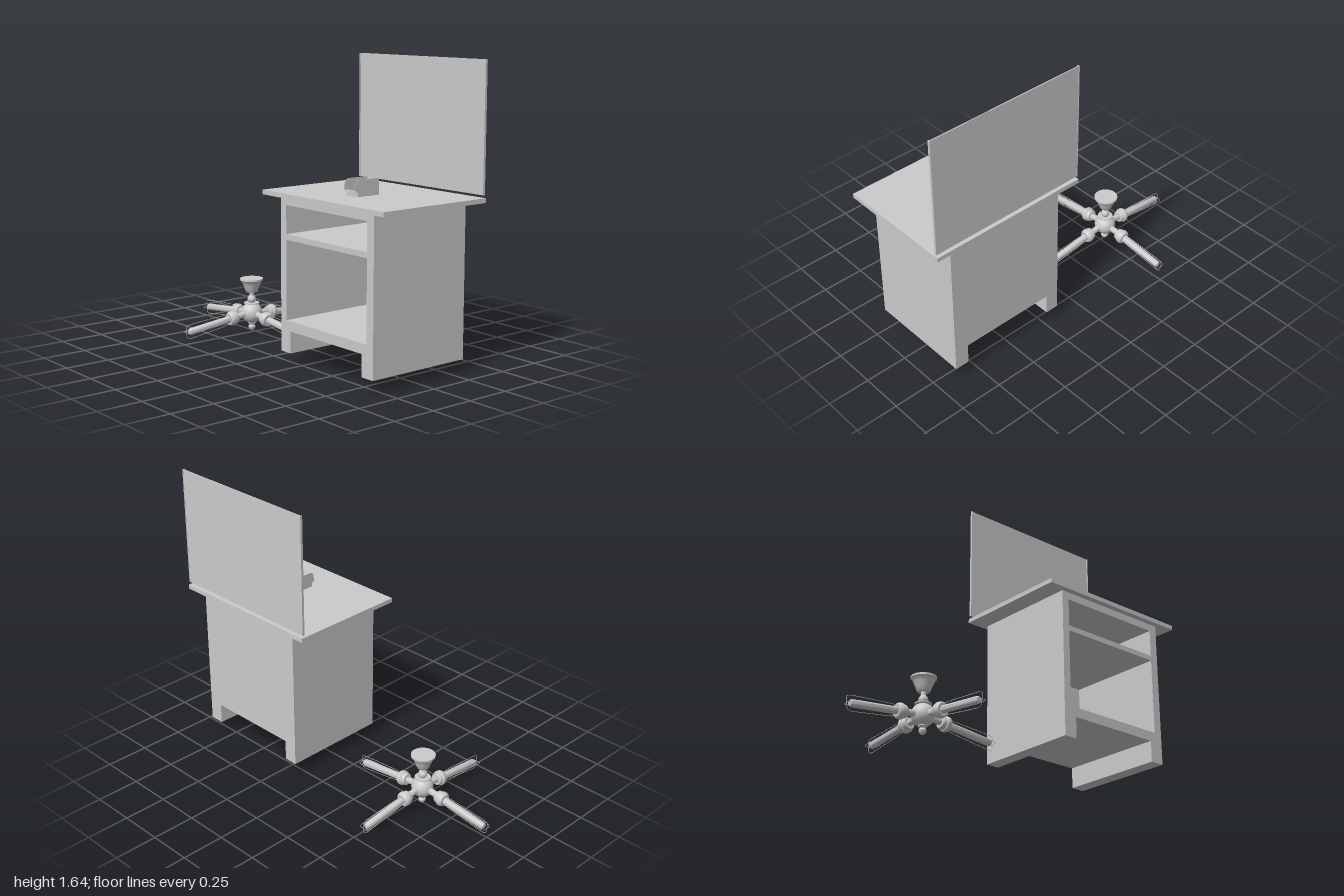
import * as THREE from 'three';
import { toCreasedNormals } from 'three/addons/utils/BufferGeometryUtils.js';

const grey = new THREE.MeshStandardMaterial({ color: 0xcccccc, side: THREE.DoubleSide });

function add(parent, name, geometry, x = 0, y = 0, z = 0) {
  const mesh = new THREE.Mesh(geometry, grey);
  mesh.name = name;
  mesh.position.set(x, y, z);
  parent.add(mesh);
  return mesh;
}

// Box given by its limits on each axis
function box(parent, name, x0, x1, y0, y1, z0, z1) {
  return add(parent, name, new THREE.BoxGeometry(x1 - x0, y1 - y0, z1 - z0),
    (x0 + x1) / 2, (y0 + y1) / 2, (z0 + z1) / 2);
}

function lathe(points, sides) {
  return toCreasedNormals(new THREE.LatheGeometry(points.map(p => new THREE.Vector2(...p)), sides), 0.6);
}

const shapeOf = points => new THREE.Shape(points.map(p => new THREE.Vector2(...p)));
const rect = (x0, x1, y0, y1) => shapeOf([[x0, y0], [x1, y0], [x1, y1], [x0, y1]]);

function createCabinet() {
  const g = new THREE.Group();
  g.name = 'cabinet';

  // Carcass: front outline with legs, two open compartments running back
  const outline = [[0.155, 0.075], [0.235, 0.075], [0.235, 0.195], [0.805, 0.195],
    [0.805, 0.075], [0.89, 0.075], [0.89, 0.912], [0.155, 0.912]];
  const body = shapeOf(outline);
  body.holes.push(rect(0.2, 0.84, 0.715, 0.87), rect(0.2, 0.84, 0.25, 0.685));
  add(g, 'carcass', new THREE.ExtrudeGeometry(body, { depth: 0.59, bevelEnabled: false }), 0, 0, -0.275);
  add(g, 'backPanel', new THREE.ExtrudeGeometry(shapeOf(outline), { depth: 0.04, bevelEnabled: false }), 0, 0, -0.315);

  box(g, 'worktop', 0.042, 0.997, 0.912, 0.937, -0.35, 0.35);

  // Upright panel at the back with thin side strips
  box(g, 'splashPanel', 0.042, 0.997, 0.952, 1.64, -0.341, -0.335);
  for (const x of [0.042, 0.992]) box(g, 'panelStrip', x, x + 0.005, 0.952, 1.64, -0.343, -0.329);
  return g;
}

// Open-topped bin with rounded front corners and a low front lip
function createBin() {
  const g = new THREE.Group();
  g.name = 'bin';
  const side = new THREE.Shape();
  side.moveTo(-0.005, 0.937);
  side.lineTo(0.135, 0.937);
  side.lineTo(0.135, 0.962);
  side.lineTo(0.151, 0.968);
  side.lineTo(0.151, 0.995);
  side.quadraticCurveTo(0.148, 1.022, 0.125, 1.025);
  side.lineTo(-0.005, 1.025);
  for (const x of [0.475, 0.562]) {
    const geo = new THREE.ExtrudeGeometry(side, { depth: 0.003, bevelEnabled: false, curveSegments: 6 });
    geo.rotateY(-Math.PI / 2);
    add(g, 'binSide', geo, x + 0.003, 0, 0);
  }
  box(g, 'binBack', 0.475, 0.565, 0.937, 1.025, -0.008, -0.004);
  box(g, 'binFloor', 0.475, 0.565, 0.937, 0.941, -0.005, 0.135);
  box(g, 'binFront', 0.475, 0.565, 0.937, 0.964, 0.132, 0.135);
  box(g, 'binLip', 0.475, 0.565, 0.962, 0.967, 0.132, 0.151);
  return g;
}

// One arm along +x: stub, collar, lamp tube and wire guard
function createArm() {
  const g = new THREE.Group();
  g.name = 'arm';
  const along = (name, points, sides) => add(g, name, lathe(points, sides)).rotation.z = -Math.PI / 2;
  along('armStub', [[0.018, 0.04], [0.018, 0.115]], 16);
  along('collar', [[0, 0.111], [0.031, 0.111], [0.036, 0.12], [0.036, 0.133], [0.042, 0.137],
    [0.042, 0.155], [0.034, 0.167], [0, 0.167]], 16);
  along('lampTube', [[0.02, 0.16], [0.02, 0.437], [0.015, 0.447], [0, 0.45]], 16);

  // Two crossing wire loops closed over the tube's end
  const half = [[0.16, 0.028], [0.2, 0.033], [0.3, 0.037], [0.4, 0.04], [0.445, 0.04], [0.462, 0.034], [0.466, 0.015]];
  const points = [...half.map(([x, r]) => new THREE.Vector3(x, r, 0)),
    ...half.slice().reverse().map(([x, r]) => new THREE.Vector3(x, -r, 0))];
  const curve = new THREE.CatmullRomCurve3(points);
  for (const turn of [0, Math.PI / 2]) {
    const wire = add(g, 'guardWire', new THREE.TubeGeometry(curve, 60, 0.0015, 5));
    wire.rotation.x = turn;
    if (turn) wire.scale.y = 0.8;
  }
  return g;
}

function createCeilingLight() {
  const g = new THREE.Group();
  g.name = 'ceilingLight';

  // Canopy, stem and bulge
  add(g, 'canopy', lathe([[0, 0.312], [0.068, 0.312], [0.068, 0.302], [0.06, 0.296], [0.053, 0.28],
    [0.044, 0.258], [0.036, 0.236], [0.032, 0.23], [0, 0.23]].reverse(), 32));
  add(g, 'stem', lathe([[0.016, 0.15], [0.017, 0.168], [0.024, 0.178], [0.026, 0.187], [0.022, 0.2],
    [0.014, 0.21], [0.014, 0.235]], 24));

  // Hub with a seam disc and bottom finial
  add(g, 'hub', new THREE.SphereGeometry(0.062, 32, 20), 0, 0.105, 0);
  add(g, 'hubDisc', new THREE.CylinderGeometry(0.045, 0.045, 0.006, 32), 0, 0.164, 0);
  add(g, 'finial', lathe([[0, 0], [0.012, 0.003], [0.02, 0.014], [0.021, 0.024], [0.015, 0.034],
    [0.024, 0.043], [0.024, 0.055]], 24));

  // Four drooping arms
  for (let i = 0; i < 4; i++) {
    const spoke = new THREE.Group();
    spoke.name = 'spoke';
    spoke.position.y = 0.107;
    spoke.rotation.y = i * Math.PI / 2;
    const arm = createArm();
    arm.rotation.z = -0.11;
    spoke.add(arm);
    g.add(spoke);
  }
  g.position.x = -0.535;
  return g;
}

export function createModel() {
  const model = new THREE.Group();
  model.name = 'workstationAndLight';
  model.add(createCabinet(), createBin(), createCeilingLight());
  return model;
}
